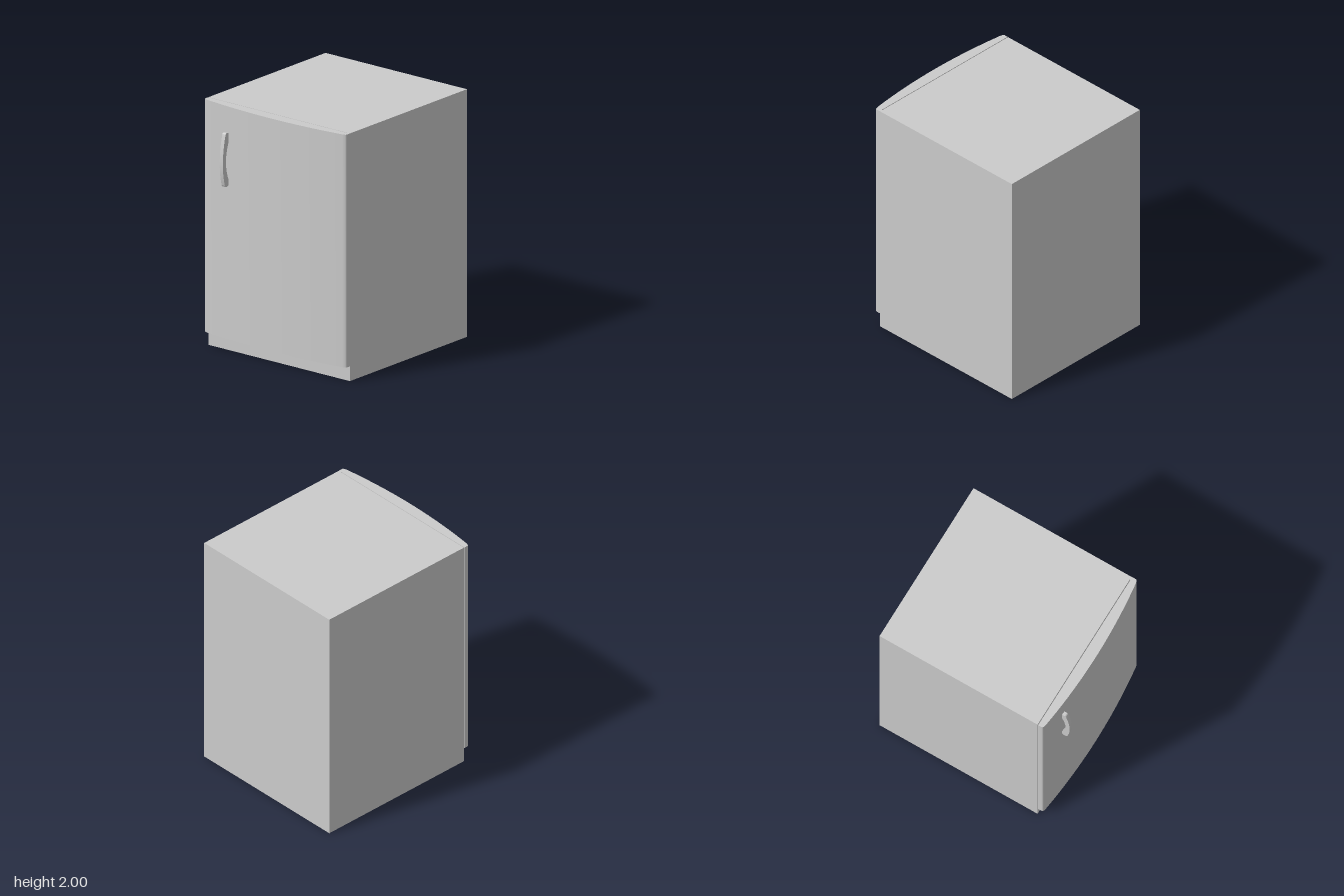
import * as THREE from 'three';
import { toCreasedNormals } from 'three/addons/utils/BufferGeometryUtils.js';

const grey = new THREE.MeshStandardMaterial({ color: 0xcccccc });

function addMesh(group, name, geometry, x = 0, y = 0, z = 0) {
  const mesh = new THREE.Mesh(geometry, grey);
  mesh.name = name;
  mesh.position.set(x, y, z);
  group.add(mesh);
  return mesh;
}

export function createModel() {
  const model = new THREE.Group();
  model.name = 'miniFridge';

  // Cabinet: plain box whose exposed foot forms the plinth below the door
  const back = -0.78, front = 0.632;
  addMesh(model, 'cabinet', new THREE.BoxGeometry(1.406, 2, front - back), 0, 1, (front + back) / 2);

  // Door: bowed front with rounded corners, drawn in plan (shape y = -z) and extruded upward
  const doorBottom = 0.12, doorBack = 0.638, w = 0.704;
  const plan = new THREE.Shape();
  plan.moveTo(w, -doorBack);
  plan.lineTo(-w, -doorBack);
  plan.lineTo(-w, -0.668);
  plan.quadraticCurveTo(-w, -0.684, -0.665, -0.689);
  plan.quadraticCurveTo(0, -0.777, 0.665, -0.689);
  plan.quadraticCurveTo(w, -0.684, w, -0.668);
  plan.closePath();
  const doorGeometry = new THREE.ExtrudeGeometry(plan, {
    depth: 2 - doorBottom, bevelEnabled: false, curveSegments: 20,
  });
  doorGeometry.rotateX(-Math.PI / 2);
  addMesh(model, 'door', toCreasedNormals(doorGeometry, 0.6), 0, doorBottom, 0);

  // Hinge strip closing the narrow gap on the hinge side
  addMesh(model, 'hingeStrip', new THREE.BoxGeometry(0.025, 2 - doorBottom, 0.01),
    0.69, 1 + doorBottom / 2, 0.635);

  // Handle: bow-shaped side profile (shape x = z, shape y = y) extruded across its width
  const bow = new THREE.Shape();
  bow.moveTo(0.708, 1.365);
  bow.lineTo(0.735, 1.355);
  bow.quadraticCurveTo(0.753, 1.355, 0.757, 1.375);
  bow.bezierCurveTo(0.788, 1.48, 0.789, 1.62, 0.75, 1.77);
  bow.quadraticCurveTo(0.746, 1.79, 0.735, 1.79);
  bow.lineTo(0.708, 1.785);
  bow.lineTo(0.708, 1.72);
  bow.bezierCurveTo(0.752, 1.61, 0.756, 1.51, 0.708, 1.4);
  bow.closePath();
  const handleWidth = 0.032;
  const handleGeometry = new THREE.ExtrudeGeometry(bow, {
    depth: handleWidth, bevelEnabled: false, curveSegments: 14,
  });
  handleGeometry.rotateY(-Math.PI / 2);
  // Rotation maps shape x to +z and the extrusion to -x
  addMesh(model, 'handle', toCreasedNormals(handleGeometry, 0.6), -0.438, 0, 0);

  return model;
}
